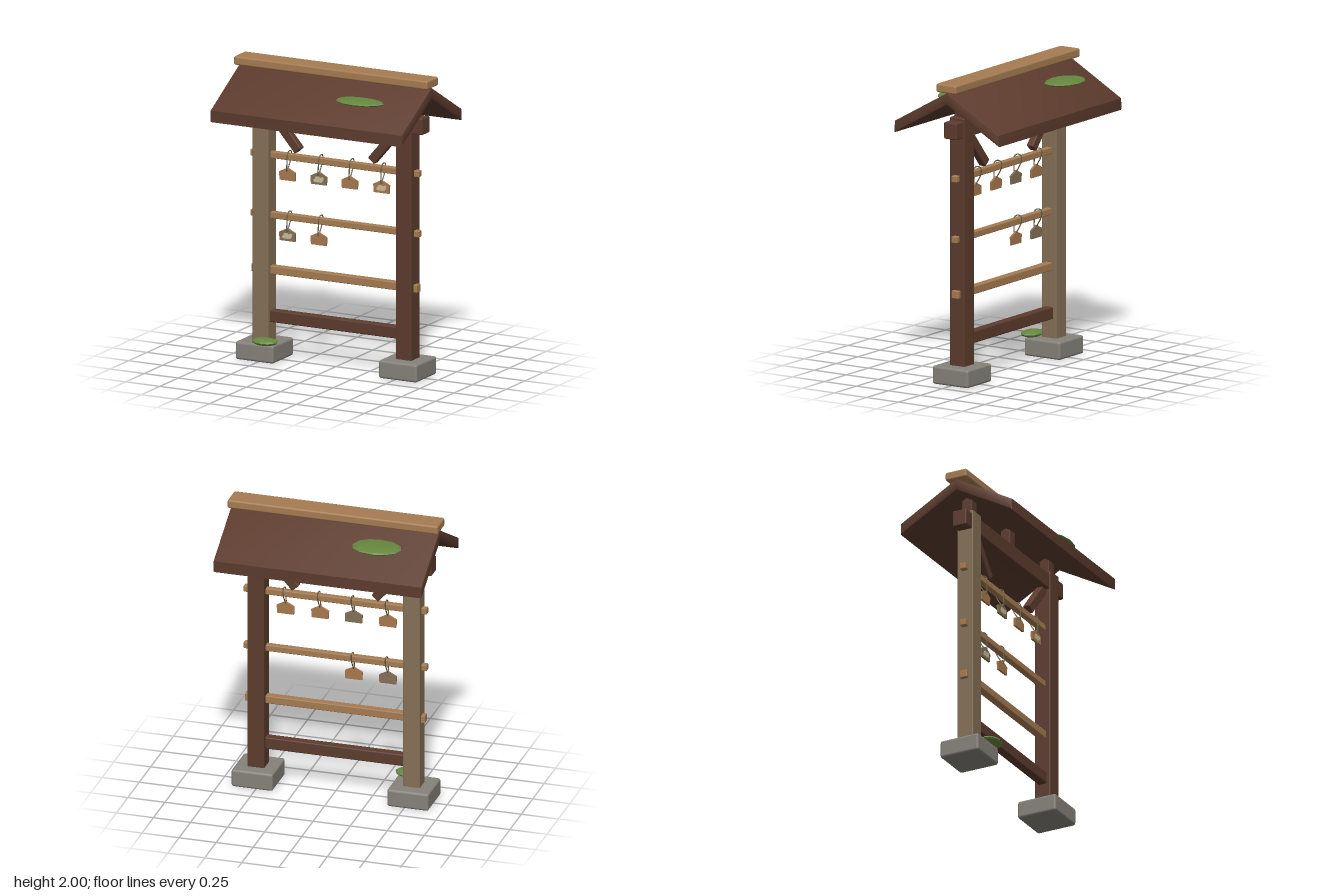
import * as THREE from 'three';
import { toCreasedNormals } from 'three/addons/utils/BufferGeometryUtils.js';
import { RoundedBoxGeometry } from 'three/addons/geometries/RoundedBoxGeometry.js';

const material = (name, color, extra = {}) => {
  const m = new THREE.MeshStandardMaterial({ color, ...extra });
  m.name = name;
  return m;
};

export function createModel() {
  const model = new THREE.Group();
  model.name = 'plaqueRack';

  const darkWood = material('dark wood', 0x5c3b2d);
  const paleWood = material('pale wood', 0xa67c52);
  const weathered = material('weathered wood', 0x857056);
  const stone = material('stone', 0x86827b);
  const moss = material('moss', 0x66873f, { flatShading: true });
  const rope = material('rope', 0x6a6048);
  const tagWood = material('plaque wood', 0xa8784e);
  const cream = material('cream paint', 0xc9bb98);

  const add = (name, geometry, mat, x = 0, y = 0, z = 0, parent = model) => {
    const mesh = new THREE.Mesh(geometry, mat);
    mesh.name = name;
    mesh.position.set(x, y, z);
    parent.add(mesh);
    return mesh;
  };
  const box = (w, h, d, r = 0.008) => new RoundedBoxGeometry(w, h, d, 2, r);

  // Posts on foundation stones, with diagonal braces
  for (const side of [-1, 1]) {
    const label = side < 0 ? 'right' : 'left';
    add(label + 'Stone', box(0.28, 0.12, 0.28, 0.016), stone, side * 0.525, 0.064, 0);
    add(label + 'Post', box(0.115, 1.65, 0.115), side < 0 ? weathered : darkWood, side * 0.525, 0.935, 0);
    const brace = add(label + 'Brace', box(0.06, 0.36, 0.05, 0.006), darkWood, side * 0.385, 1.545, 0);
    brace.rotation.z = -side * 0.71;
  }

  // Top beam and short struts that carry the roof
  add('topBeam', box(1.32, 0.11, 0.1), darkWood, 0, 1.685, 0);
  for (const x of [-0.525, 0, 0.525]) {
    add('roofStrut', box(0.07, 0.19, 0.07, 0.005), darkWood, x, 1.81, 0);
  }

  // Gabled roof, one chevron section run along x
  const gable = new THREE.Shape();
  [[0, 1.943], [-0.408, 1.712], [-0.408, 1.636], [0, 1.864], [0.408, 1.636], [0.408, 1.712]]
    .forEach(([z, y], i) => (i ? gable.lineTo(z, y) : gable.moveTo(z, y)));
  const roof = new THREE.ExtrudeGeometry(gable, {
    depth: 1.386, bevelEnabled: true, bevelThickness: 0.01, bevelSize: 0.01, bevelOffset: -0.01, bevelSegments: 2,
  });
  roof.translate(0, 0, -0.693);
  roof.rotateY(Math.PI / 2);
  add('roof', toCreasedNormals(roof, 0.6), darkWood);
  add('ridgeCap', box(1.42, 0.058, 0.155, 0.012), paleWood, 0, 1.971, 0);

  // Rails through the posts, and the lower tie
  const rails = [[1.36, 1.235, 0.043], [0.96, 1.235, 0.043], [0.597, 1.215, 0.053]];
  for (const [y, length, t] of rails) add('rail', box(length, t, t, 0.006), paleWood, 0, y, 0);
  add('lowerTie', box(0.97, 0.08, 0.06), darkWood, 0, 0.29, 0);

  // House-shaped plaque, its painted cloud and its cord loop
  const plaqueShape = new THREE.Shape();
  [[-0.056, -0.042], [0.056, -0.042], [0.059, 0.013], [0, 0.043], [-0.059, 0.013]]
    .forEach(([x, y], i) => (i ? plaqueShape.lineTo(x, y) : plaqueShape.moveTo(x, y)));
  const plaqueGeo = new THREE.ExtrudeGeometry(plaqueShape, { depth: 0.014, bevelEnabled: false });
  plaqueGeo.translate(0, 0, -0.007);

  const cloudShape = new THREE.Shape();
  [[-0.038, -0.012], [-0.03, -0.026], [0.022, -0.027], [0.034, -0.016], [0.04, 0.004],
    [0.026, 0.012], [0.012, 0.004], [-0.004, 0.012], [-0.022, 0.008], [-0.026, -0.004]]
    .forEach(([x, y], i) => (i ? cloudShape.lineTo(x, y) : cloudShape.moveTo(x, y)));
  const cloudGeo = new THREE.ExtrudeGeometry(cloudShape, { depth: 0.003, bevelEnabled: false });

  const loop = new THREE.CatmullRomCurve3([
    [0, 0.02, 0.01], [0.002, 0.08, 0.012], [0.004, 0.13, 0.01], [0.004, 0.15, -0.012],
    [0.004, 0.146, -0.042], [0.003, 0.11, -0.046], [0.001, 0.06, -0.022],
  ].map((p) => new THREE.Vector3(...p)), true);
  const cordGeo = new THREE.TubeGeometry(loop, 28, 0.004, 5, true);

  const plaques = [
    [-0.345, 1.247, tagWood, false], [-0.115, 1.247, weathered, true],
    [0.112, 1.247, tagWood, false], [0.345, 1.247, tagWood, true],
    [-0.345, 0.845, weathered, true], [-0.115, 0.845, tagWood, false],
  ];
  for (const [x, y, mat, painted] of plaques) {
    const group = new THREE.Group();
    group.name = 'hangingPlaque';
    group.position.set(x, y, 0.018);
    model.add(group);
    add('plaque', plaqueGeo, mat, 0, 0, 0, group);
    add('cord', cordGeo, rope, 0, 0, 0, group);
    if (painted) add('paintedCloud', cloudGeo, cream, 0, 0, 0.0065, group);
  }

  // Flattened moss clumps on the roof and on one stone
  const clumps = [
    ['frontRoofMoss', 0.285, 1.843, 0.2, 0.17, 0.019, 0.105],
    ['backRoofMoss', -0.34, 1.864, -0.21, 0.165, 0.021, 0.12],
    ['stoneMoss', -0.455, 0.143, 0.122, 0.09, 0.024, 0.068],
  ];
  for (const [name, x, y, z, rx, ry, rz] of clumps) {
    add(name, new THREE.SphereGeometry(1, 12, 8), moss, x, y, z).scale.set(rx, ry, rz);
  }

  return model;
}
